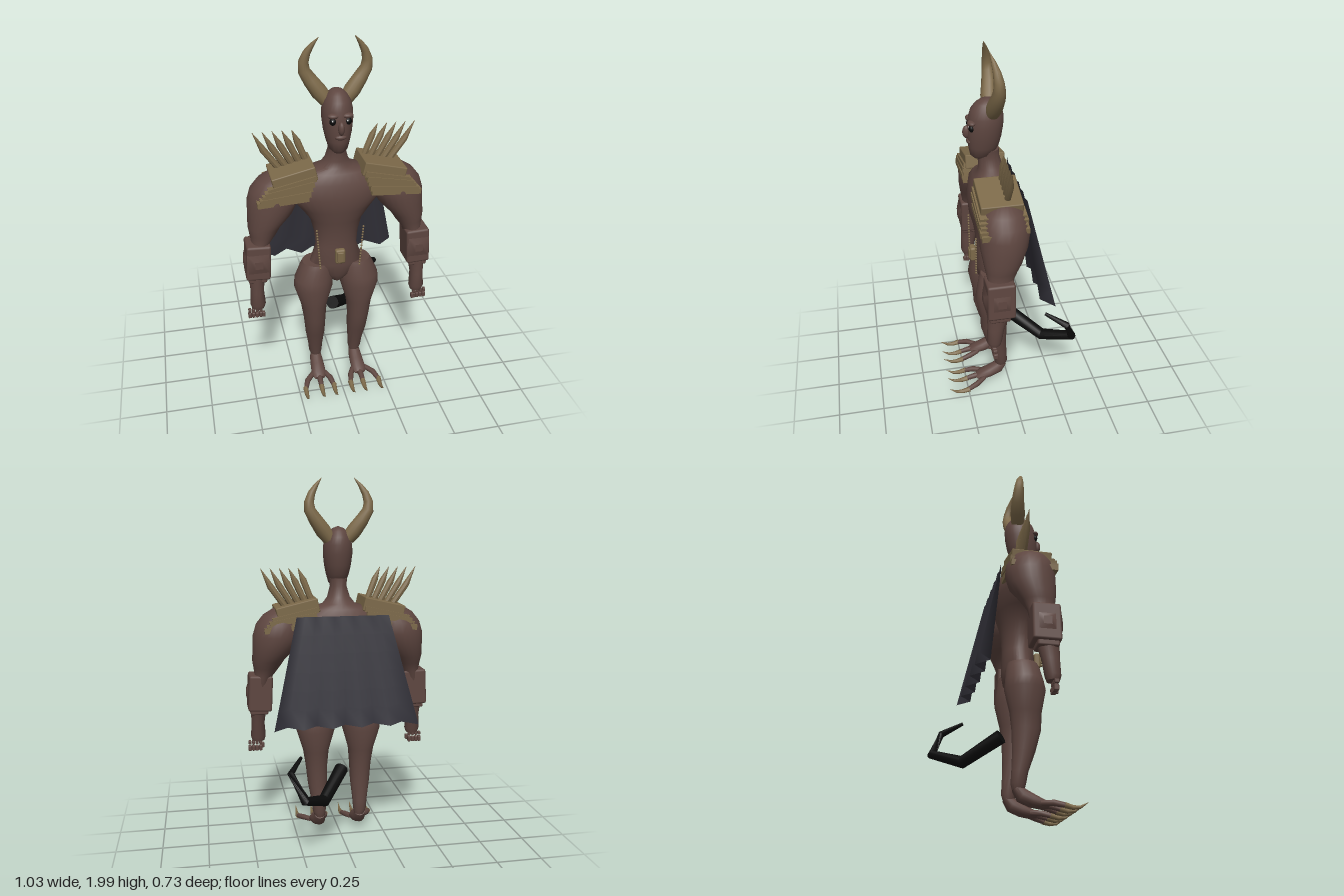
import * as THREE from 'three';
import { toCreasedNormals } from 'three/addons/utils/BufferGeometryUtils.js';
import { RoundedBoxGeometry } from 'three/addons/geometries/RoundedBoxGeometry.js';

const mat = (name, color) => {
  const m = new THREE.MeshStandardMaterial({ color });
  m.name = name;
  return m;
};

// Skins elliptical rings [x, y, z, ru, rv]. Without ref the rings lie flat and
// run upwards; with ref they turn with the path.
function loft(rings, { ref = null, n = 20, crease = 0.75 } = {}) {
  const pts = rings.map(r => new THREE.Vector3(r[0], r[1], r[2]));
  const pos = [], index = [], last = rings.length - 1;
  rings.forEach((r, i) => {
    let u = new THREE.Vector3(1, 0, 0), v = new THREE.Vector3(0, 0, -1);
    if (ref) {
      const t = new THREE.Vector3();
      if (i > 0) t.add(pts[i].clone().sub(pts[i - 1]).normalize());
      if (i < last) t.add(pts[i + 1].clone().sub(pts[i]).normalize());
      t.normalize();
      u = ref.clone().cross(t).normalize();
      v = t.clone().cross(u);
    }
    for (let j = 0; j < n; j++) {
      const a = (j / n) * Math.PI * 2;
      const p = pts[i].clone().addScaledVector(u, Math.cos(a) * r[3]).addScaledVector(v, Math.sin(a) * (r[4] ?? r[3]));
      pos.push(p.x, p.y, p.z);
    }
  });
  for (let i = 0; i < last; i++) for (let j = 0; j < n; j++) {
    const k = (j + 1) % n, a = i * n + j, b = i * n + k, c = a + n, d = b + n;
    index.push(a, b, d, a, d, c);
  }
  const c0 = pos.length / 3;
  pos.push(...pts[0].toArray(), ...pts[last].toArray());
  for (let j = 0; j < n; j++) {
    const k = (j + 1) % n;
    index.push(c0, k, j, c0 + 1, last * n + j, last * n + k);
  }
  const g = new THREE.BufferGeometry();
  g.setAttribute('position', new THREE.Float32BufferAttribute(pos, 3));
  g.setIndex(index);
  return toCreasedNormals(g, crease);
}

export function createModel() {
  const root = new THREE.Group();
  root.name = 'hornedFigure';
  const skin = mat('brown skin', 0x5e4640), bone = mat('tan bone', 0x7d6a4a);
  const cloth = mat('charcoal cloth', 0x33323a), black = mat('black', 0x0b0b0b), white = mat('eye glint', 0xd8d8d8);
  cloth.side = THREE.DoubleSide;
  const X = new THREE.Vector3(1, 0, 0), Y = new THREE.Vector3(0, 1, 0), Z = new THREE.Vector3(0, 0, 1);

  const add = (name, geo, material, p = [0, 0, 0], rz = 0) => {
    const m = new THREE.Mesh(geo, material);
    m.name = name;
    m.position.set(...p);
    m.rotation.z = rz;
    root.add(m);
    return m;
  };
  const blob = (name, material, p, rx, ry, rz) =>
    add(name, new THREE.SphereGeometry(1, 16, 12), material, p).scale.set(rx, ry, rz);

  // Torso and neck
  add('torso', loft([
    [0, 0.65, 0.07, 0.03, 0.05], [0, 0.70, 0.07, 0.10, 0.08], [0, 0.77, 0.07, 0.145, 0.088], [0, 0.87, 0.07, 0.112, 0.085],
    [0, 0.95, 0.07, 0.12, 0.088], [0, 1.03, 0.07, 0.14, 0.10], [0, 1.10, 0.07, 0.19, 0.118], [0, 1.18, 0.065, 0.26, 0.13],
    [0, 1.26, 0.06, 0.27, 0.122], [0, 1.31, 0.06, 0.19, 0.10], [0, 1.335, 0.062, 0.09, 0.08], [0, 1.37, 0.07, 0.062, 0.064],
    [0, 1.43, 0.08, 0.045, 0.056], [0, 1.47, 0.085, 0.05, 0.06],
  ], { n: 32 }), skin);

  // Head and face
  add('head', loft([
    [0, 1.425, 0.125, 0.025, 0.03], [0, 1.445, 0.115, 0.048, 0.06], [0, 1.49, 0.105, 0.062, 0.078], [0, 1.54, 0.1, 0.073, 0.087],
    [0, 1.60, 0.095, 0.08, 0.092], [0, 1.65, 0.09, 0.078, 0.09], [0, 1.69, 0.088, 0.068, 0.08], [0, 1.72, 0.085, 0.05, 0.06],
    [0, 1.738, 0.083, 0.03, 0.035], [0, 1.747, 0.082, 0.004, 0.004],
  ], { n: 28, crease: 1.2 }), skin);
  blob('nose', skin, [0, 1.57, 0.19], 0.017, 0.035, 0.022);
  blob('lips', skin, [0, 1.52, 0.177], 0.03, 0.014, 0.016);

  // Belt buckle
  add('buckle', new RoundedBoxGeometry(0.055, 0.085, 0.035, 2, 0.012), bone, [0, 0.84, 0.175]);
  add('bucklePlate', new RoundedBoxGeometry(0.035, 0.06, 0.012, 2, 0.005), bone, [0, 0.84, 0.193]);

  for (const s of [1, -1]) {
    const side = s > 0 ? 'left' : 'right';
    const flip = rings => rings.map(([x, ...r]) => [x * s, ...r]);
    const body = (name, rings, material, opts) => add(side + name, loft(flip(rings), opts), material);

    // Eyes and brows
    blob(side + 'Eye', black, [s * 0.038, 1.602, 0.171], 0.019, 0.019, 0.014);
    blob(side + 'EyeGlint', white, [s * 0.038 - 0.005, 1.608, 0.184], 0.004, 0.004, 0.003);
    blob(side + 'Brow', skin, [s * 0.036, 1.63, 0.168], 0.03, 0.014, 0.022);

    // Horns
    body('Horn', [
      [0.05, 1.68, 0.065, 0.036], [0.085, 1.725, 0.06, 0.042], [0.125, 1.78, 0.052, 0.037], [0.157, 1.832, 0.05, 0.031],
      [0.16, 1.875, 0.053, 0.026], [0.145, 1.92, 0.06, 0.02], [0.12, 1.96, 0.07, 0.012], [0.088, 2.0, 0.082, 0.001],
    ], bone, { ref: Z, n: 14 });

    // Arm from wrist up to shoulder
    body('Arm', [
      [0.45, 0.555, 0.14, 0.034, 0.032], [0.45, 0.58, 0.14, 0.042, 0.04], [0.45, 0.66, 0.132, 0.036, 0.045],
      [0.448, 0.73, 0.122, 0.043, 0.055], [0.44, 0.84, 0.11, 0.055, 0.07], [0.415, 0.94, 0.098, 0.05, 0.068],
      [0.40, 0.99, 0.09, 0.072, 0.085], [0.39, 1.03, 0.082, 0.088, 0.1], [0.355, 1.10, 0.07, 0.12, 0.122],
      [0.335, 1.17, 0.065, 0.138, 0.13], [0.325, 1.23, 0.065, 0.13, 0.125], [0.31, 1.28, 0.065, 0.105, 0.1],
      [0.29, 1.32, 0.065, 0.06, 0.06], [0.28, 1.33, 0.065, 0.01, 0.01],
    ], skin, { n: 24, crease: 0.9 });

    // Forearm guard with a raised pyramid on the outer and front faces
    add(side + 'Bracer', new RoundedBoxGeometry(0.13, 0.2, 0.145, 1, 0.012), skin, [s * 0.438, 0.845, 0.108], s * 0.05);
    const boss = new THREE.CylinderGeometry(0.03, 0.085, 0.018, 4).rotateY(Math.PI / 4);
    add(side + 'BracerBoss', boss.clone(), skin, [s * 0.504, 0.845, 0.108], -s * (Math.PI / 2 - 0.05));
    add(side + 'BracerFrontBoss', boss.rotateX(Math.PI / 2), skin, [s * 0.438, 0.845, 0.187]);
    add(side + 'BracerCuff', new RoundedBoxGeometry(0.1, 0.04, 0.11, 1, 0.01), skin, [s * 0.445, 0.74, 0.115]);

    // Finger segments, loose below the palm
    for (let i = 0; i < 4; i++) {
      const x = s * (0.438 + i * 0.02);
      add(side + 'Knuckle', new RoundedBoxGeometry(0.016, 0.022, 0.024, 1, 0.005), skin, [x, 0.54, 0.145]);
      add(side + 'Finger', new RoundedBoxGeometry(0.019, 0.032, 0.026, 1, 0.006), skin, [x, 0.508, 0.142]);
    }
    add(side + 'Thumb', new RoundedBoxGeometry(0.018, 0.03, 0.022, 1, 0.005), skin, [s * 0.425, 0.518, 0.16]);

    // Leg from ankle up to hip
    body('Leg', [
      [0.115, 0.11, 0.042, 0.028, 0.03], [0.118, 0.14, 0.042, 0.037, 0.038], [0.119, 0.2, 0.05, 0.042, 0.042],
      [0.123, 0.3, 0.07, 0.055, 0.058], [0.127, 0.41, 0.083, 0.062, 0.075], [0.13, 0.5, 0.08, 0.073, 0.082],
      [0.131, 0.62, 0.078, 0.108, 0.107], [0.128, 0.67, 0.076, 0.107, 0.1], [0.113, 0.745, 0.072, 0.09, 0.088],
      [0.108, 0.77, 0.07, 0.08, 0.08],
    ], skin, { n: 24 });

    // Foot, toes and claws
    body('Foot', [
      [0.117, 0.12, 0.03, 0.025, 0.028], [0.117, 0.085, 0.06, 0.038, 0.036], [0.118, 0.062, 0.11, 0.034, 0.04],
      [0.12, 0.045, 0.165, 0.024, 0.042], [0.12, 0.04, 0.19, 0.012, 0.03],
    ], skin, { ref: X, n: 16 });
    for (const [x0, x1] of [[0.085, 0.05], [0.12, 0.122], [0.155, 0.215]]) {
      const xm = (x0 + 2 * x1) / 3;
      body('Toe', [[x0, 0.045, 0.15, 0.014], [xm, 0.04, 0.2, 0.016], [x1, 0.026, 0.255, 0.013]], skin, { ref: X, n: 10 });
      body('Claw', [
        [x1, 0.028, 0.245, 0.015], [x1, 0.018, 0.285, 0.012], [x1, 0.02, 0.32, 0.008], [x1, 0.045, 0.362, 0.001],
      ], bone, { ref: X, n: 10 });
    }

    // Shoulder armour: one top slab, then stepped front and back plates
    add(side + 'ShoulderSlab', new RoundedBoxGeometry(0.23, 0.075, 0.215, 1, 0.006), bone, [s * 0.235, 1.312, 0.075], -s * 0.23);
    for (let i = 0; i < 5; i++) {
      const x = 0.25 + i * 0.012, y = 1.285 - i * 0.022, w = 0.25 + i * 0.004, tilt = -s * (0.22 - i * 0.04);
      add(side + 'FrontPlate', new THREE.BoxGeometry(w, 0.03, 0.1), bone, [s * x, y, 0.142 + (i % 2) * 0.006], tilt);
      if (i < 4) add(side + 'BackPlate', new THREE.BoxGeometry(w, 0.03, 0.05), bone, [s * x, y, -0.018 - (i % 2) * 0.006], tilt);
    }

    // Shoulder spikes
    for (let i = 0; i < 5; i++) {
      const x = 0.145 + i * 0.033, tx = 0.225 + i * 0.05, y = 1.35 - i * 0.008;
      body('Spike', [
        [x, y - 0.02, 0.04, 0.017], [x + (tx - x) * 0.65, y + 0.115, 0.042, 0.018], [tx, 1.53, 0.045, 0.001],
      ], bone, { ref: Z, n: 8 });
    }

    // Hanging beads at the waist
    for (let i = 0; i < 15; i++) {
      const y = 0.775 + i * 0.0165;
      add(side + 'Bead', new THREE.SphereGeometry(0.006, 8, 6), bone, [s * (0.108 + i * 0.0013), y, 0.175]);
    }
  }

  // Pleated cape, flaring towards the hem
  const pos = [], index = [], rows = 6;
  for (let r = 0; r <= rows; r++) for (let k = -5; k <= 5; k++) {
    const t = r / rows, fold = Math.abs(k) % 2;
    pos.push(k * (0.05 + 0.028 * t), 1.28 - 0.58 * t, -0.06 - 0.075 * t - fold * (0.012 + 0.055 * t));
  }
  for (let r = 0; r < rows; r++) for (let k = 0; k < 10; k++) {
    const a = r * 11 + k, c = a + 11;
    index.push(a, c, a + 1, a + 1, c, c + 1);
  }
  const cape = new THREE.BufferGeometry();
  cape.setAttribute('position', new THREE.Float32BufferAttribute(pos, 3));
  cape.setIndex(index);
  cape.computeVertexNormals();
  add('cape', cape, cloth);

  // Hooked tail
  add('tail', loft([
    [0, 0.41, -0.02, 0.038], [0.13, 0.3, -0.2, 0.033], [0.25, 0.365, -0.345, 0.026],
    [0.318, 0.5, -0.292, 0.019], [0.25, 0.545, -0.185, 0.009],
  ], { ref: Y, n: 14, crease: 0.5 }), black);

  return root;
}
